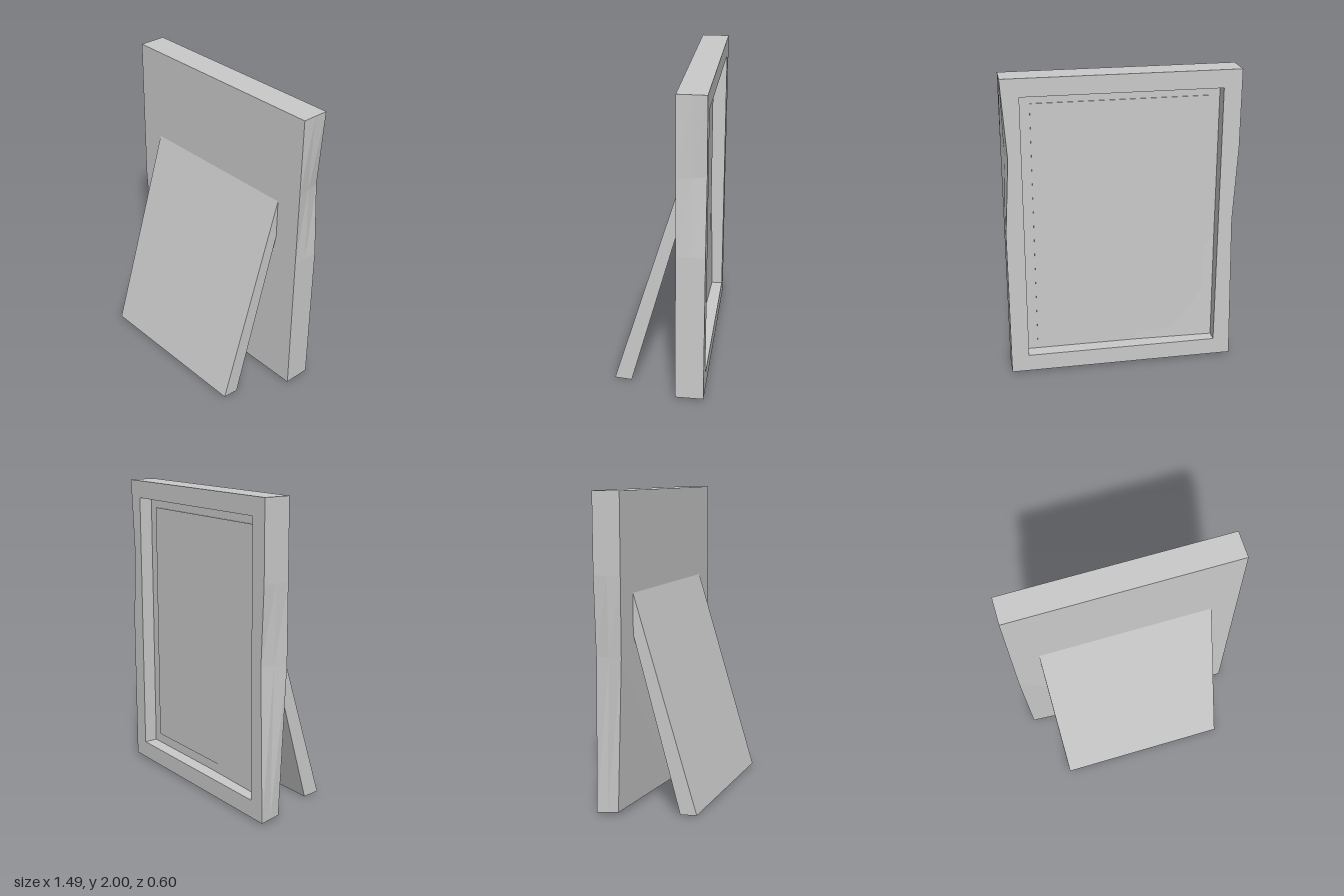
import * as THREE from 'three';

const BACK = -0.3, FRONT = -0.12, FLOOR = -0.21;
const W = 0.745, BASE = 0.01, TOP = 2;

// Small dents in the wood: the point to move, its offset, and the face that carries it
const dents = [
  { at: [W, 1.5], move: [-0.032, 0, 0], front: false },
  { at: [-W, 1.0], move: [0.024, 0, 0], front: false },
  { at: [-W, BASE], move: [0.015, 0.013, -0.04], front: true },
];

function dent(geometry) {
  const p = geometry.attributes.position;
  for (let i = 0; i < p.count; i++) {
    const x = p.getX(i), y = p.getY(i), z = p.getZ(i);
    const toFront = (z - BACK) / (FRONT - BACK);
    for (const d of dents) {
      if (Math.hypot(x - d.at[0], y - d.at[1]) > 0.001) continue;
      const k = d.front ? toFront : 1 - toFront;
      p.setXYZ(i, x + d.move[0] * k, y + d.move[1] * k, z + d.move[2] * k);
    }
  }
  geometry.computeVertexNormals();
  return geometry;
}

// Rectangle outline with extra points along the sides where the wood bends
function outline() {
  return new THREE.Shape([
    [-W, BASE], [0, BASE], [W, BASE], [W, 1], [W, 1.5], [W, TOP],
    [-W, TOP], [-W, 1.5], [-W, 1],
  ].map(([x, y]) => new THREE.Vector2(x, y)));
}

function slab(shape, z0, z1) {
  return new THREE.ExtrudeGeometry(shape, { depth: z1 - z0, bevelEnabled: false }).translate(0, 0, z0);
}

export function createModel() {
  const group = new THREE.Group();
  const material = new THREE.MeshStandardMaterial({ color: 0xcccccc, flatShading: true });
  const add = (name, geometry) => {
    const mesh = new THREE.Mesh(geometry, material);
    mesh.name = name;
    group.add(mesh);
  };

  // Raised rim around the recess
  const rim = outline();
  rim.holes.push(new THREE.Path([
    [-0.63, 0.125], [-0.63, 1.885], [0.63, 1.885], [0.63, 0.125],
  ].map(([x, y]) => new THREE.Vector2(x, y))));
  add('frameRim', dent(slab(rim, BACK, FLOOR)));

  // Solid board behind the recess
  add('backingBoard', dent(slab(outline(), FLOOR, FRONT)));

  // Thin picture panel lying on the recess floor
  add('picturePanel', new THREE.BoxGeometry(1.125, 1.63, 0.012).translate(0, 1.005, FLOOR));

  // Leaning support with a slightly tapered side profile (z, y)
  const profile = new THREE.Shape([
    [0.19, 0], [0.3, 0.01], [FRONT, 1.38], [FRONT, 1.12],
  ].map(([z, y]) => new THREE.Vector2(z, y)));
  const stand = new THREE.ExtrudeGeometry(profile, { depth: 1.14, bevelEnabled: false });
  stand.rotateY(-Math.PI / 2).translate(0.57, 0, 0);
  add('stand', stand);

  return group;
}
